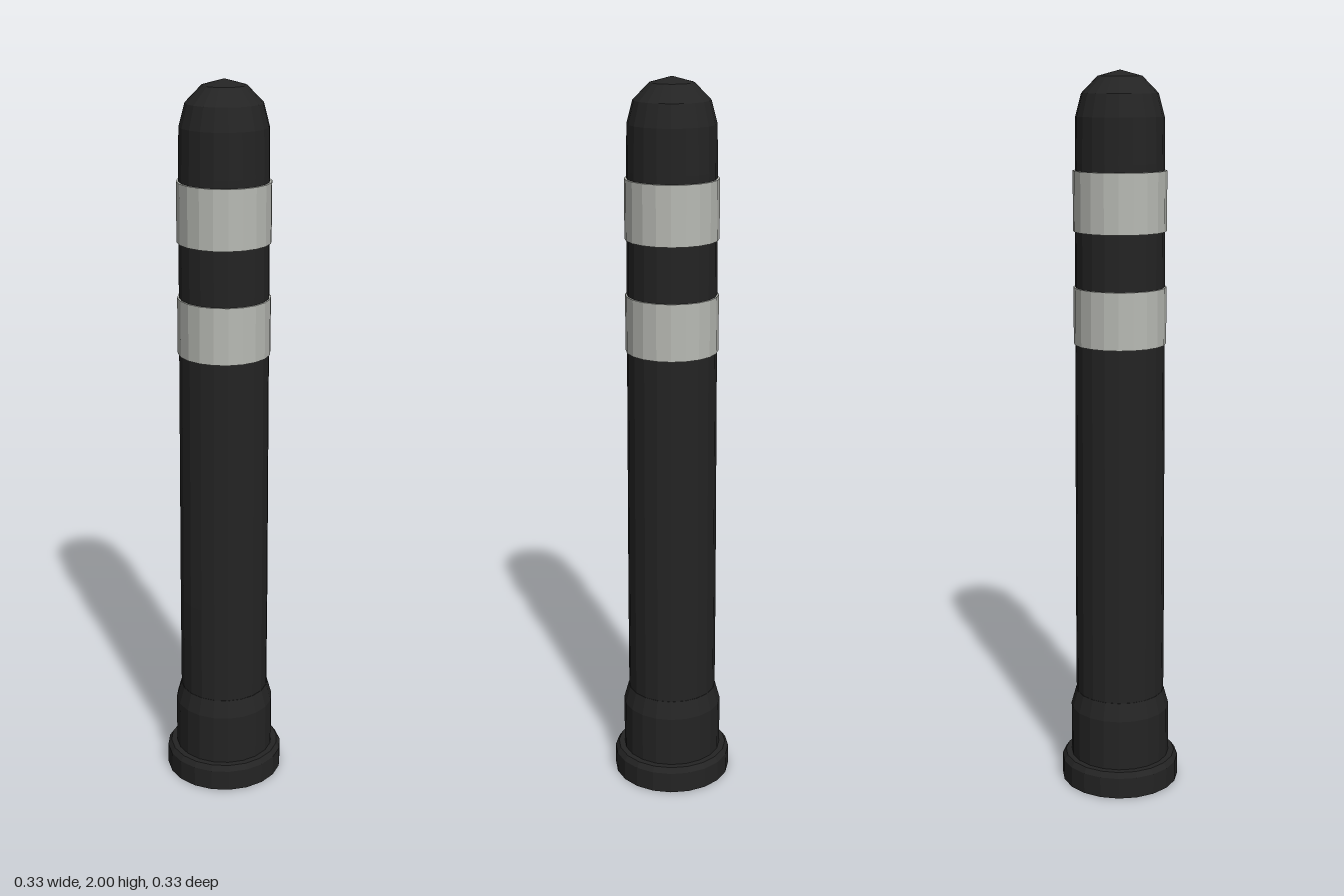
import * as THREE from 'three';

export function createModel() {
  const group = new THREE.Group();
  const rubber = new THREE.MeshStandardMaterial({ name: 'black rubber', color: 0x242424 });
  const reflective = new THREE.MeshStandardMaterial({ name: 'reflective grey', color: 0xb8bab4 });
  rubber.flatShading = reflective.flatShading = true;

  // Turned part from [radius, height] pairs, listed bottom to top
  const turn = (name, profile, material, sides = 20) => {
    const points = profile.map(([r, y]) => new THREE.Vector2(r, y));
    const mesh = new THREE.Mesh(new THREE.LatheGeometry(points, sides), material);
    mesh.name = name;
    group.add(mesh);
  };

  // Foot with a small bevel
  turn('base', [[0, 0], [0.167, 0], [0.167, 0.06], [0.157, 0.075], [0, 0.075]], rubber);

  // Collar tapering into the shaft
  turn('collar', [[0.14, 0.07], [0.14, 0.22], [0.126, 0.27], [0.12, 0.27]], rubber);

  // Slightly tapered shaft
  turn('shaft', [[0.125, 0.07], [0.125, 0.55], [0.122, 1.3], [0.12, 1.76], [0.118, 1.88]], rubber);

  // Rounded cap in three steps
  const dome = [0, 30, 60, 90].map((deg) => {
    const a = THREE.MathUtils.degToRad(deg);
    return [0.118 * Math.cos(a), 1.88 + 0.12 * Math.sin(a)];
  });
  turn('cap', dome, rubber);

  // Reflective bands
  for (const [name, low, high] of [['lowerBand', 1.275, 1.43], ['upperBand', 1.58, 1.74]]) {
    turn(name, [[0.117, low], [0.126, low], [0.126, high], [0.117, high]], reflective);
  }
  return group;
}
